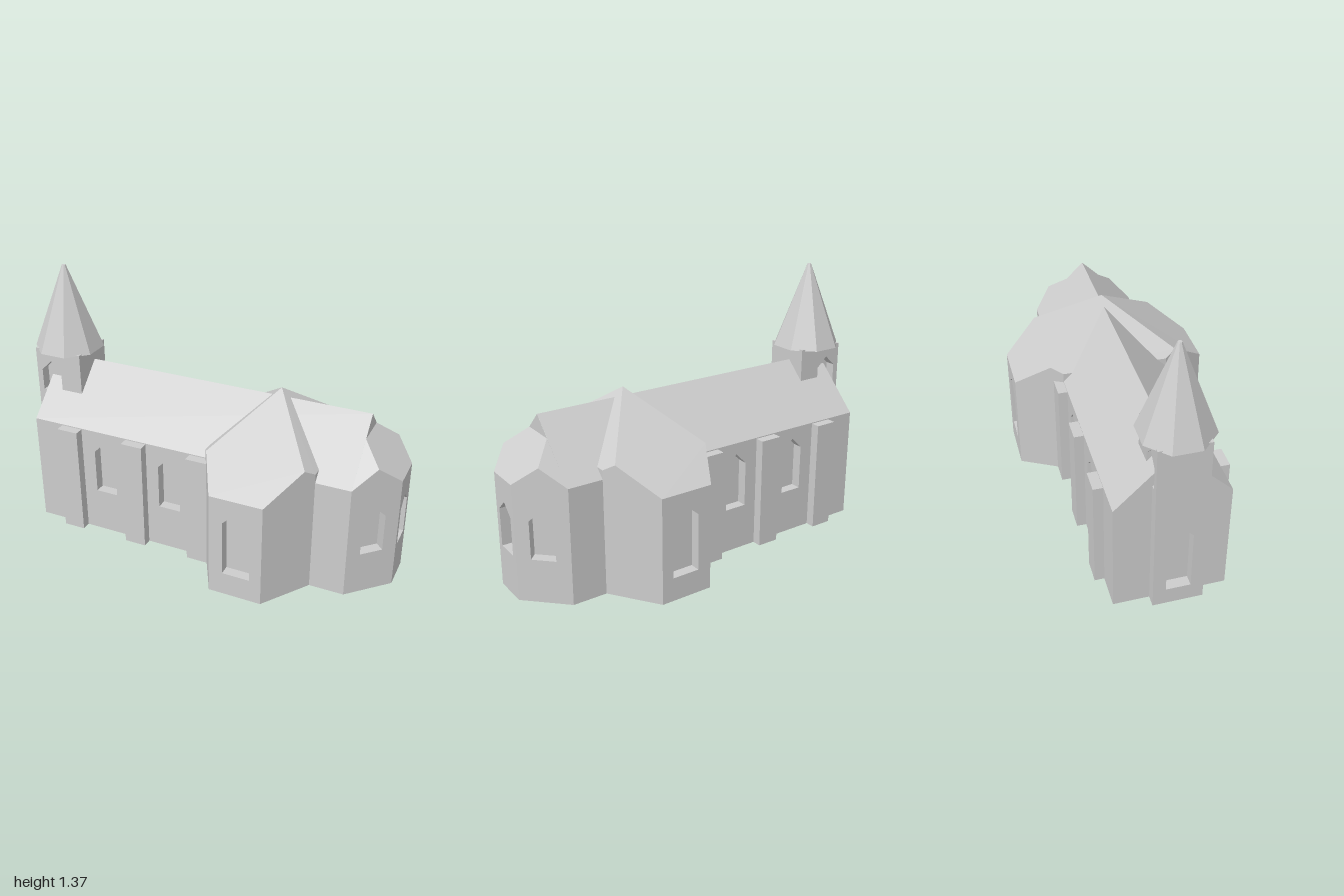
import * as THREE from 'three';

const stone = new THREE.MeshStandardMaterial({ color: 0xcccccc });
stone.name = 'pale grey stone';
const DEPTH = 0.053; // window recess

// Flat convex polygons, each a list of [x, y, z] corners
function faces(name, polys) {
  const pos = [];
  for (const p of polys)
    for (let i = 1; i < p.length - 1; i++) pos.push(...p[0], ...p[i], ...p[i + 1]);
  const g = new THREE.BufferGeometry();
  g.setAttribute('position', new THREE.Float32BufferAttribute(pos, 3));
  g.computeVertexNormals();
  const m = new THREE.Mesh(g, stone);
  m.name = name;
  return m;
}
const mirrorZ = (p) => p.map(([x, y, z]) => [x, y, -z]).reverse();
const floorOf = (name, plan) => faces(name, [plan.map(([x, z]) => [x, 0, z]).reverse()]);

// Upright wall from p to q ([x, z]); top = [fraction, height] points from p to q;
// windows = [centre, half width, sill, shoulder, apex], centre measured along the wall
function wall(name, p, q, top, windows = []) {
  const group = new THREE.Group();
  group.name = name;
  const u = new THREE.Vector3(q[0] - p[0], 0, q[1] - p[1]);
  const len = u.length();
  u.normalize();
  const up = new THREE.Vector3(0, 1, 0);
  const shape = new THREE.Shape(
    [[0, 0], [len, 0], ...[...top].reverse().map(([f, y]) => [f * len, y])].map((a) => new THREE.Vector2(...a)));
  for (const [c, w, sill, shoulder, apex] of windows) {
    const outline = [[c - w, sill], [c + w, sill], [c + w, shoulder], [c, apex], [c - w, shoulder]];
    shape.holes.push(new THREE.Path(outline.map((a) => new THREE.Vector2(...a))));
    const reveal = outline.map((a, i) => {
      const b = outline[(i + 1) % outline.length];
      return [[...a, 0], [...b, 0], [...b, -DEPTH], [...a, -DEPTH]];
    });
    group.add(faces('windowReveal', reveal));
    group.add(faces('windowPane', [outline.map((a) => [...a, -DEPTH])]));
  }
  const face = new THREE.Mesh(new THREE.ShapeGeometry(shape), stone);
  face.name = 'wallFace';
  group.add(face);
  group.applyMatrix4(new THREE.Matrix4()
    .makeBasis(u, up, new THREE.Vector3().crossVectors(u, up))
    .setPosition(p[0], 0, p[1]));
  return group;
}

// Walls around a plan given counter-clockwise from above, front first
function ring(name, plan, specs) {
  const g = new THREE.Group();
  g.name = name;
  plan.forEach((p, i) => g.add(wall(name + 'Wall', p, plan[(i + 1) % plan.length], ...specs[i])));
  g.add(floorOf(name + 'Floor', plan));
  return g;
}
const flat = (y) => [[0, y], [1, y]];

function buildNave() {
  const plan = [[-0.91, 0.275], [0.81, 0.275], [1, 0.09], [1, -0.09], [0.81, -0.275], [-0.91, -0.275]];
  const gable = [[0, 0.59], [0.5, 0.68], [1, 0.59]];
  const sideWindows = [-0.5, -0.13].map((x) => [x + 0.91, 0.06, 0.235, 0.47, 0.53]);
  const diagonal = [[0.1326, 0.06, 0.22, 0.415, 0.47]];
  const nave = ring('nave', plan, [
    [flat(0.59), sideWindows],
    [gable, diagonal],
    [flat(0.59), [[0.09, 0.06, 0.22, 0.415, 0.47]]],
    [gable, diagonal],
    [flat(0.59), sideWindows.map(([c, ...r]) => [1.72 - c, ...r])],
    [[[0, 0.59], [0.5, 0.86], [1, 0.59]]],
  ]);
  const slope = [[-0.91, 0.59, 0.275], [0.81, 0.59, 0.275], [0.81, 0.86, 0], [-0.91, 0.86, 0]];
  nave.add(faces('naveRoof', [slope, mirrorZ(slope)]));

  // Apse roof: two small side slopes, the end slope and the upright step under the ridge
  const side = [[0.81, 0.59, 0.275], [0.905, 0.68, 0.1825], [0.81, 0.77, 0.09]];
  const end = [[1, 0.59, 0.09], [1, 0.59, -0.09], [0.905, 0.68, -0.1825],
    [0.81, 0.77, -0.09], [0.81, 0.77, 0.09], [0.905, 0.68, 0.1825]];
  const step = [[0.81, 0.77, 0.09], [0.81, 0.77, -0.09], [0.81, 0.86, 0]];
  nave.add(faces('apseRoof', [side, mirrorZ(side), end, step]));
  return nave;
}

function buildTransept() {
  const plan = [[0.2, 0.51], [0.47, 0.51], [0.635, 0.275], [0.635, -0.275],
    [0.47, -0.51], [0.2, -0.51], [0.075, -0.275], [0.075, 0.275]];
  const window = [[0.14, 0.07, 0.12, 0.41, 0.47]];
  const back = [[0.13, 0.07, 0.12, 0.41, 0.47]];
  const transept = ring('transept', plan, [
    [flat(0.54), window],
    [[[0, 0.54], [0.78, 0.67], [1, 0.636]]],
    [flat(0.636)],
    [[[0, 0.636], [0.22, 0.67], [1, 0.54]]],
    [flat(0.54), back],
    [[[0, 0.54], [0.75, 0.667], [1, 0.636]]],
    [flat(0.636)],
    [[[0, 0.636], [0.25, 0.667], [1, 0.54]]],
  ]);
  const apex = [0.355, 0.905, 0];
  const front = [[0.2, 0.54, 0.51], [0.47, 0.54, 0.51], [0.599, 0.67, 0.327], apex, [0.106, 0.667, 0.334]];
  const right = [[0.635, 0.636, 0.275], [0.635, 0.636, -0.275], [0.599, 0.67, -0.327], apex, [0.599, 0.67, 0.327]];
  const left = [[0.075, 0.636, -0.275], [0.075, 0.636, 0.275], [0.106, 0.667, 0.334], apex, [0.106, 0.667, -0.334]];
  transept.add(faces('transeptRoof', [front, mirrorZ(front), right, left]));
  return transept;
}

function buildTower() {
  const [x0, x1, z0, z1, h] = [-0.965, -0.7, -0.1, 0.145, 0.933];
  const plan = [[x0, z1], [x1, z1], [x1, z0], [x0, z0]];
  const belfry = [0.058, 0.7, 0.815, 0.87];
  const tower = ring('tower', plan, [
    [flat(h), [[0.088, ...belfry]]],
    [flat(h)],
    [flat(h), [[0.177, ...belfry]]],
    [flat(h), [[0.1225, 0.06, 0.09, 0.41, 0.47]]],
  ]);
  tower.add(faces('towerTop', [plan.map(([x, z]) => [x, h, z])]));

  // Eight-sided spire with a tiny flat tip
  const cone = new THREE.CylinderGeometry(0.01, 0.18, 0.44, 8, 1, false, Math.PI / 8).toNonIndexed();
  cone.computeVertexNormals();
  const spire = new THREE.Mesh(cone, stone);
  spire.name = 'spire';
  spire.position.set(-0.833, 1.145, 0.022);
  tower.add(spire);
  return tower;
}

export function createModel() {
  const church = new THREE.Group();
  church.name = 'church';
  church.add(buildNave(), buildTransept(), buildTower());

  // Buttresses along both sides of the nave
  for (const x of [-0.69, -0.315, 0.045])
    for (const s of [1, -1]) {
      const b = new THREE.Mesh(new THREE.BoxGeometry(0.115, 0.585, 0.075), stone);
      b.name = 'buttress';
      b.position.set(x, 0.2925, s * 0.2855);
      church.add(b);
    }
  return church;
}
